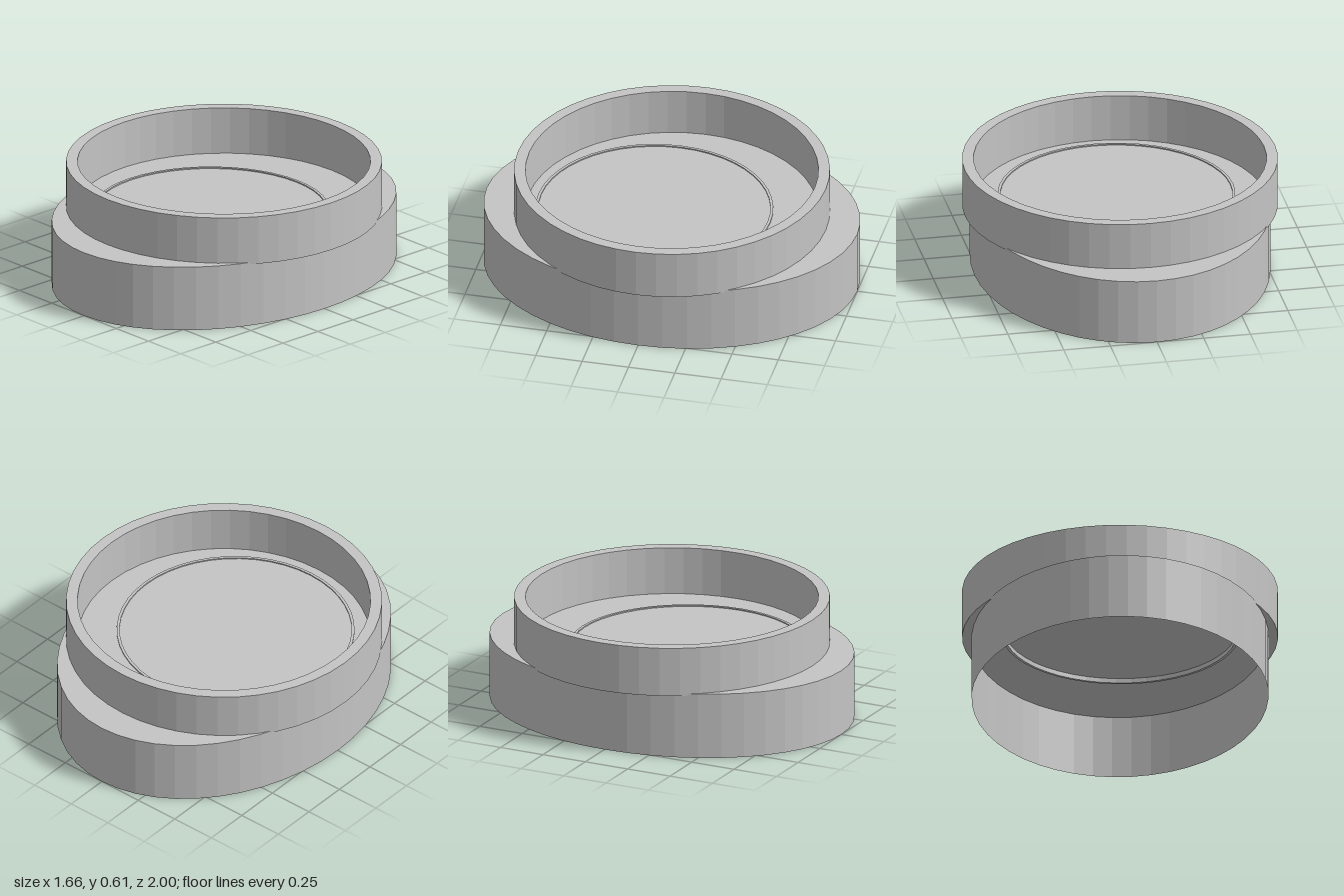
import * as THREE from 'three';

const SEGMENTS = 48;

// Closed ring with a rectangular section
function ring(inner, outer, y0, y1) {
  const section = [[inner, y0], [outer, y0], [outer, y1], [inner, y1], [inner, y0]];
  return new THREE.LatheGeometry(section.map(([r, y]) => new THREE.Vector2(r, y)), SEGMENTS);
}

export function createModel() {
  const group = new THREE.Group();
  const grey = new THREE.MeshStandardMaterial({ color: 0xc4c4c4, flatShading: true, side: THREE.DoubleSide });
  grey.name = 'grey';

  const add = (name, geometry) => {
    const mesh = new THREE.Mesh(geometry, grey);
    mesh.name = name;
    group.add(mesh);
    return mesh;
  };

  // Oval skirt, open underneath
  const skirt = new THREE.CylinderGeometry(1, 1, 0.355, SEGMENTS, 1, true);
  skirt.scale(0.78, 1, 1).translate(0, 0.1775, 0);
  add('ovalSkirt', skirt);

  // Thin plate closing the skirt and forming the dish floor
  const plate = new THREE.CylinderGeometry(1, 1, 0.01, SEGMENTS);
  plate.scale(0.78, 1, 1).translate(0, 0.35, 0);
  add('floorPlate', plate);

  // Round upper wall
  add('upperRim', ring(0.77, 0.83, 0.345, 0.61));

  // Small off-centre ring, just proud of the floor and hanging below it
  add('seatRing', ring(0.61, 0.625, 0.32, 0.361)).position.z = 0.095;

  return group;
}
